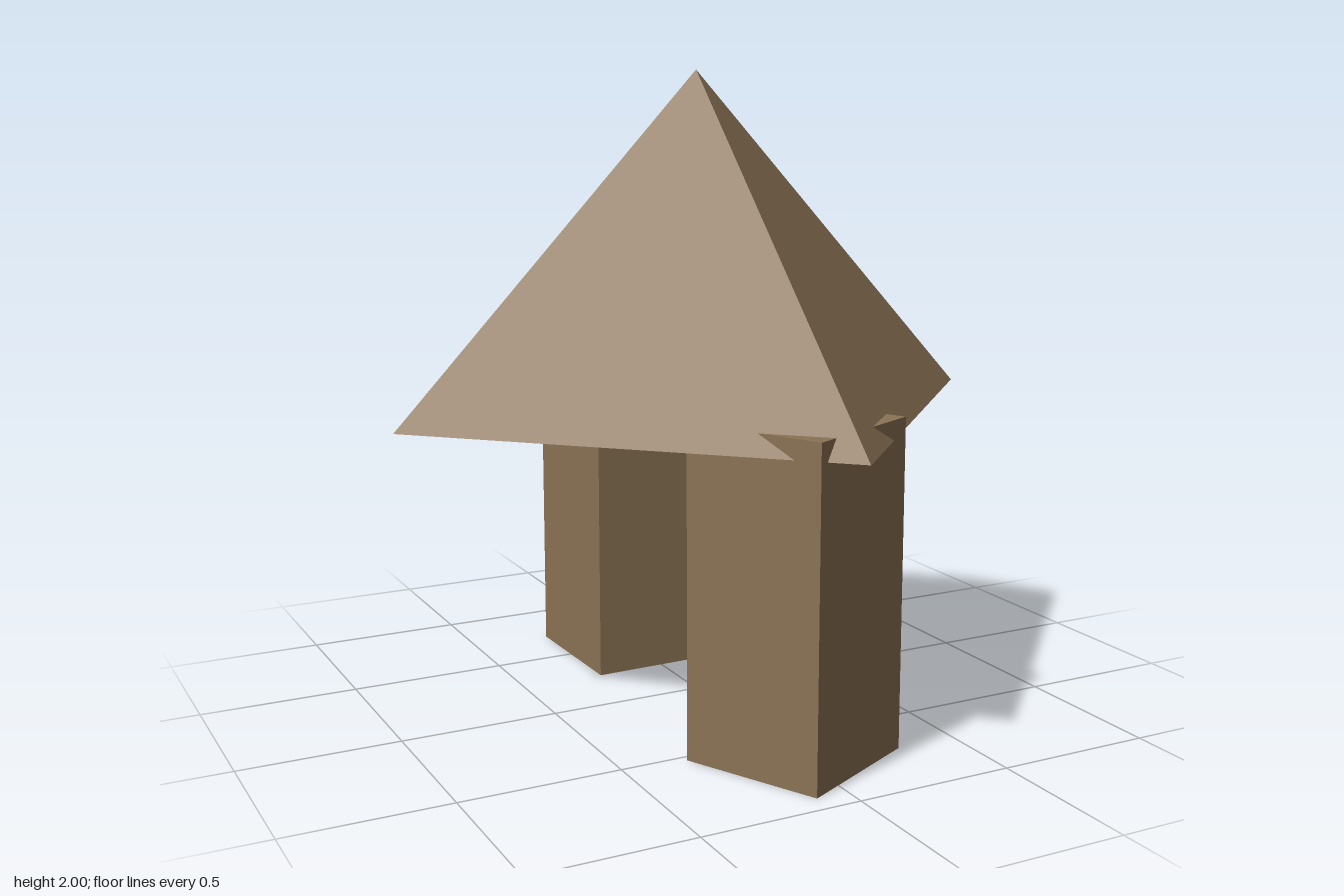
import * as THREE from 'three';

export function createModel() {
  const group = new THREE.Group();
  const brown = new THREE.MeshStandardMaterial({ color: 0x8b7355 });
  brown.name = 'brown';

  // Four-sided pyramid roof, closed underneath, with flat faces
  const roofGeometry = new THREE.ConeGeometry(1, 1.05, 4).toNonIndexed();
  roofGeometry.computeVertexNormals();
  const roof = new THREE.Mesh(roofGeometry, brown);
  roof.name = 'roof';
  roof.position.y = 0.95 + 1.05 / 2;
  roof.rotation.y = 0.013;
  group.add(roof);

  // Square legs, whose top corners poke slightly through the roof
  const legHeight = 1.01;
  function addLeg(name, size, x, z, turn) {
    const leg = new THREE.Mesh(new THREE.BoxGeometry(size, legHeight, size), brown);
    leg.name = name;
    leg.position.set(x, legHeight / 2, z);
    leg.rotation.y = turn;
    group.add(leg);
  }
  addLeg('frontLeg', 0.452, 0.003, 0.628, 0.458);
  addLeg('backLeg', 0.461, -0.004, -0.49, 0.022);

  return group;
}
